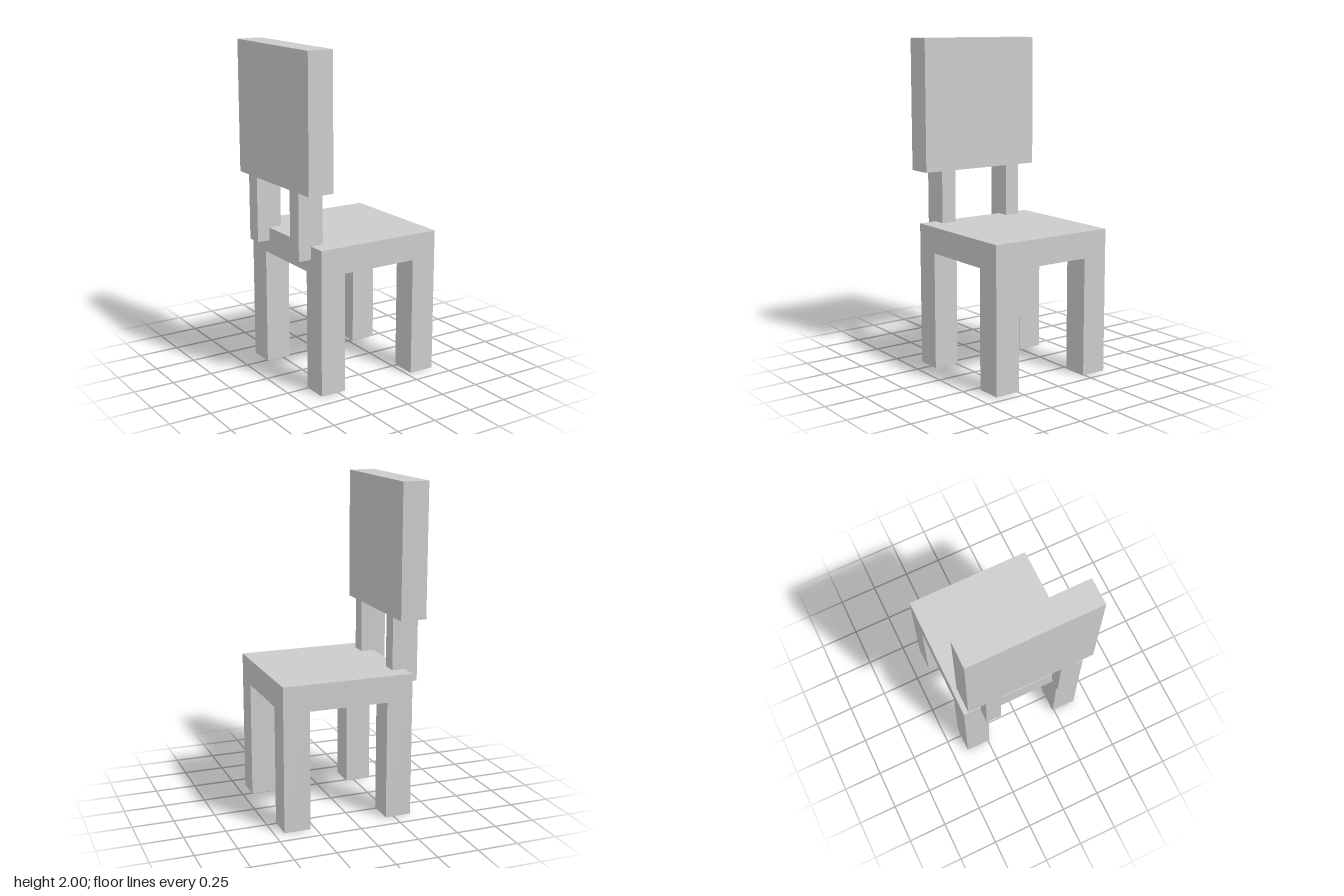
import * as THREE from 'three';

const material = new THREE.MeshStandardMaterial({ color: 0xcccccc, flatShading: true });

// Box given by its [min, max] extent on each axis
function block(name, [x0, x1], [y0, y1], [z0, z1]) {
  const mesh = new THREE.Mesh(new THREE.BoxGeometry(x1 - x0, y1 - y0, z1 - z0), material);
  mesh.position.set((x0 + x1) / 2, (y0 + y1) / 2, (z0 + z1) / 2);
  mesh.name = name;
  return mesh;
}

export function createModel() {
  const chair = new THREE.Group();
  chair.name = 'chair';

  // Seat slab and backrest panel; the chair looks towards +x
  chair.add(block('seat', [-0.36, 0.44], [0.72, 0.88], [-0.4, 0.4]));
  chair.add(block('backrest', [-0.44, -0.28], [1.2, 2], [-0.4, 0.4]));

  for (const side of [-1, 1]) {
    const span = (a, b) => [a * side, b * side].sort((p, q) => p - q);

    // Legs flush with the seat corners
    chair.add(block('backrestSideLeg', [-0.36, -0.2], [0, 0.72], span(0.24, 0.4)));
    chair.add(block('openSideLeg', [0.28, 0.44], [0, 0.72], span(0.24, 0.4)));

    // Posts joining seat and backrest, overhanging the seat edge
    chair.add(block('backrestPost', [-0.44, -0.28], [0.8, 1.2], span(0.192, 0.288)));
  }
  return chair;
}
